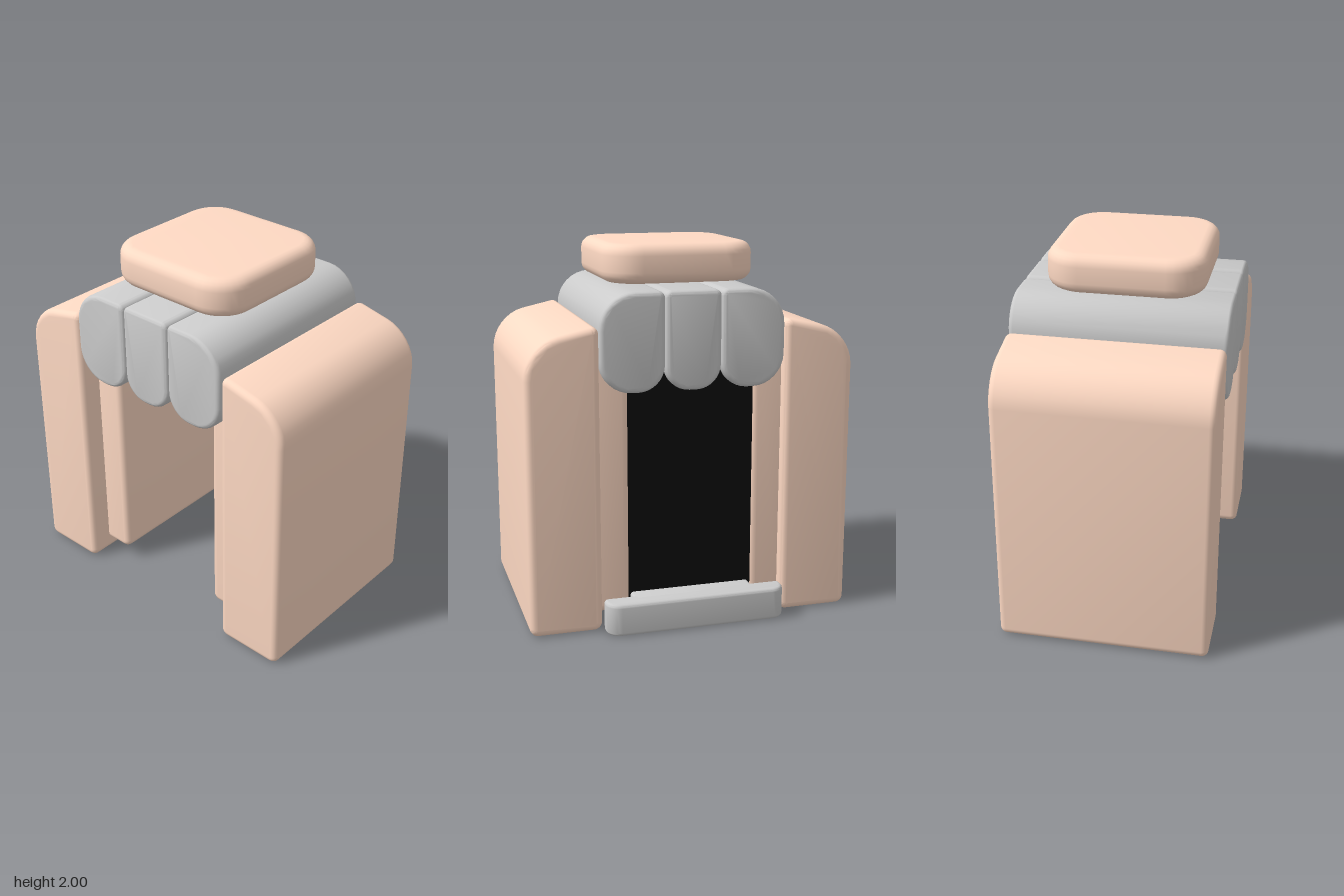
import * as THREE from 'three';
import { toCreasedNormals } from 'three/addons/utils/BufferGeometryUtils.js';

const peach = new THREE.MeshStandardMaterial({ color: 0xffdac4 });
const grey = new THREE.MeshStandardMaterial({ color: 0xcccccc });
const black = new THREE.MeshStandardMaterial({ color: 0x0c0c0c });

// Outline from corners [x, y, corner radius]
function roundedShape(corners) {
  const shape = new THREE.Shape();
  const n = corners.length;
  corners.forEach(([x, y, r], i) => {
    const toward = ([px, py], d) => {
      const len = Math.hypot(px - x, py - y);
      return [x + ((px - x) * d) / len, y + ((py - y) * d) / len];
    };
    const prev = corners[(i + n - 1) % n], next = corners[(i + 1) % n];
    const start = toward(prev, r), end = toward(next, r);
    if (i === 0) shape.moveTo(...start);
    else shape.lineTo(...start);
    shape.bezierCurveTo(...toward(prev, r * 0.45), ...toward(next, r * 0.45), ...end);
  });
  shape.closePath();
  return shape;
}

// Block extruded from lo to hi with softened end edges, keeping its outline
function softBlock(corners, lo, hi, bevel) {
  const geo = new THREE.ExtrudeGeometry(roundedShape(corners), {
    depth: hi - lo - 2 * bevel,
    bevelThickness: bevel,
    bevelSize: bevel,
    bevelOffset: -bevel,
    bevelSegments: 5,
    curveSegments: 8,
  });
  geo.translate(0, 0, lo + bevel);
  return toCreasedNormals(geo, 0.6);
}

const rect = (x0, y0, x1, y1, r) => [[x0, y0, r], [x1, y0, r], [x1, y1, r], [x0, y1, r]];
const mirrored = (corners) => corners.map(([x, y, r]) => [-x, y, r]);

export function createModel() {
  const group = new THREE.Group();
  const add = (name, geometry, material) => {
    const mesh = new THREE.Mesh(geometry, material);
    mesh.name = name;
    group.add(mesh);
    return mesh;
  };
  // Block whose outline lies in the ground plane; outline y is -z
  const addFlat = (name, corners, y0, y1, bevel, material) =>
    add(name, softBlock(corners, y0, y1, bevel).rotateX(-Math.PI / 2), material);

  // Side walls, inner jambs and outer canopy pads, one of each per side
  const wall = [[0.495, 0, 0.045], [0.88, 0, 0.045], [0.88, 1.535, 0.18], [0.495, 1.62, 0.045]];
  const jamb = rect(0.33, 0.08, 0.53, 1.5, 0.045);
  const pad = [[0.15, 1.265, 0.14], [0.495, 1.265, 0.17], [0.495, 1.78, 0.19], [0.15, 1.78, 0.035]];
  for (const [side, outline] of [['left', (c) => c], ['right', mirrored]]) {
    add(side + 'Wall', softBlock(outline(wall), -0.515, 0.61, 0.035), peach);
    add(side + 'Jamb', softBlock(outline(jamb), -0.46, 0.49, 0.035), peach);
    add(side + 'CanopyPad', softBlock(outline(pad), -0.51, 0.615, 0.025), grey);
  }

  // Middle canopy pad
  const middle = [[-0.15, 1.265, 0.13], [0.15, 1.265, 0.13], [0.15, 1.78, 0.035], [-0.15, 1.78, 0.035]];
  add('middleCanopyPad', softBlock(middle, -0.51, 0.615, 0.025), grey);

  // Dark panel closing the back of the opening
  const panel = add('backPanel', new THREE.BoxGeometry(0.76, 1.43, 0.01), black);
  panel.position.set(0, 0.785, -0.445);

  // Sill: wide bar outside, narrow tongue reaching into the opening
  const bar = [[-0.49, 0.5, 0.025], [0.49, 0.5, 0.025], [0.49, 0.62, 0.075], [-0.49, 0.62, 0.075]];
  addFlat('sillBar', bar, 0, 0.175, 0.02, grey);
  addFlat('sillTongue', rect(-0.332, 0.39, 0.332, 0.56, 0.025), 0, 0.175, 0.02, grey);

  // Floating cushion cap
  addFlat('topCushion', rect(-0.41, -0.47, 0.41, 0.355, 0.19), 1.795, 2, 0.06, peach);

  return group;
}
